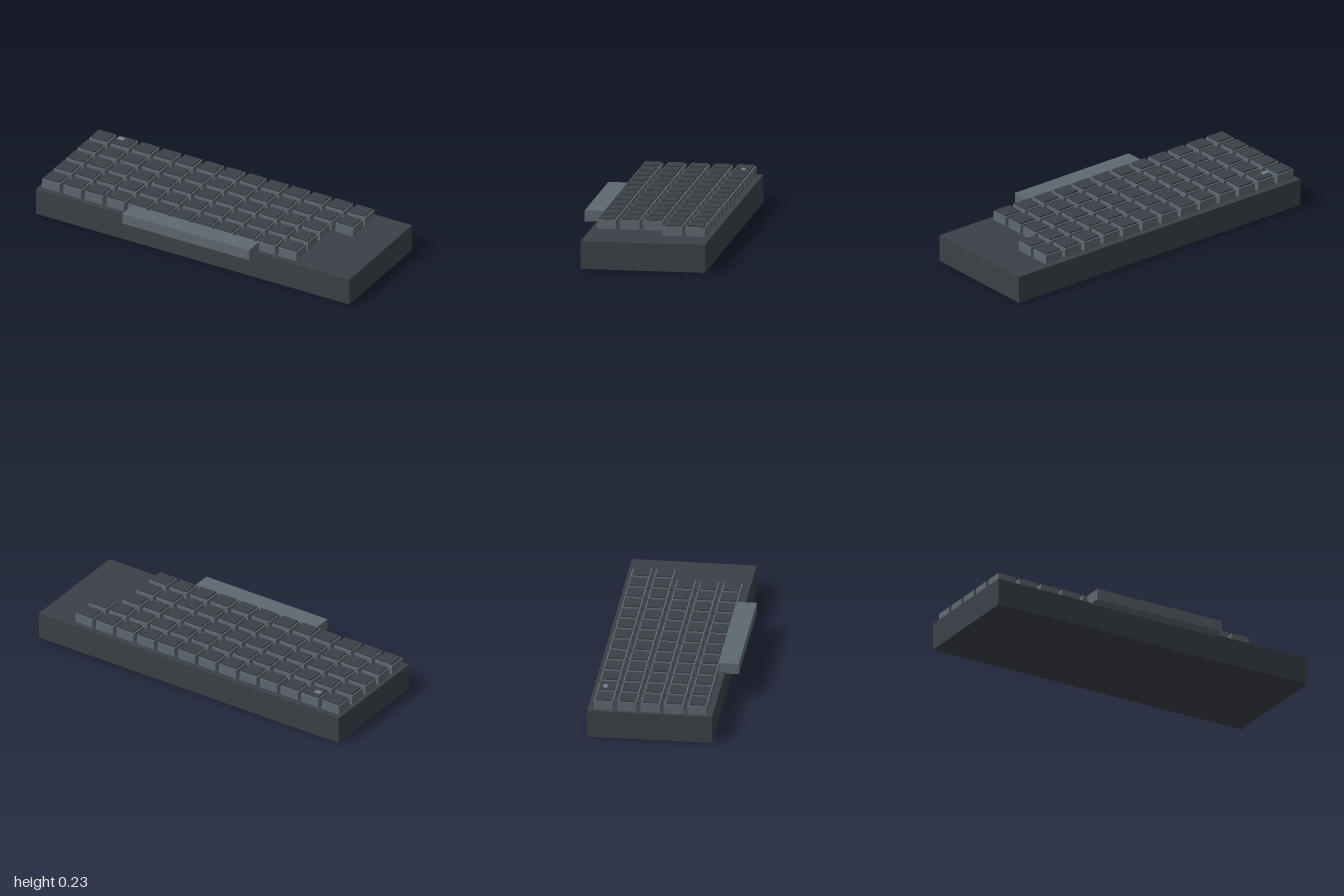
import * as THREE from 'three';

const charcoal = new THREE.MeshStandardMaterial({ name: 'charcoal', color: 0x3b4147 });
const slate = new THREE.MeshStandardMaterial({ name: 'slate grey', color: 0x5e6870 });
const blueGrey = new THREE.MeshStandardMaterial({ name: 'blue grey', color: 0x74839a });

// Box standing on height y, centred on x and z
function block(name, material, w, h, d, x, y, z) {
  const mesh = new THREE.Mesh(new THREE.BoxGeometry(w, h, d), material);
  mesh.name = name;
  mesh.position.set(x, y + h / 2, z);
  return mesh;
}

// Key: a slate body with a smaller dark cap on top
function makeKey(x, z) {
  const key = new THREE.Group();
  key.name = 'key';
  key.position.set(x, 0, z);
  key.add(
    block('keyBody', slate, 0.114, 0.062, 0.107, 0, 0.148, 0),
    block('keyCap', charcoal, 0.1, 0.008, 0.09, 0, 0.21, 0)
  );
  return key;
}

export function createModel() {
  const model = new THREE.Group();
  model.name = 'keyboard';

  // Case
  model.add(block('case', charcoal, 2, 0.157, 0.695, 0, 0, -0.0375));

  // Five rows of keys, back to front; the two back rows are one key longer
  const keys = new THREE.Group();
  keys.name = 'keys';
  [13, 13, 12, 12, 12].forEach((count, row) => {
    for (let i = 0; i < count; i++) {
      keys.add(makeKey(-0.923 + i * 0.1372, -0.297 + row * 0.1304));
    }
  });
  model.add(keys);

  // Space bar overhanging the front edge
  model.add(block('spaceBar', slate, 0.808, 0.062, 0.107, 0, 0.148, 0.3315));

  // Small marker plate above the second key of the back row
  model.add(block('markerPlate', blueGrey, 0.038, 0.004, 0.024, -0.812, 0.223, -0.306));

  return model;
}
